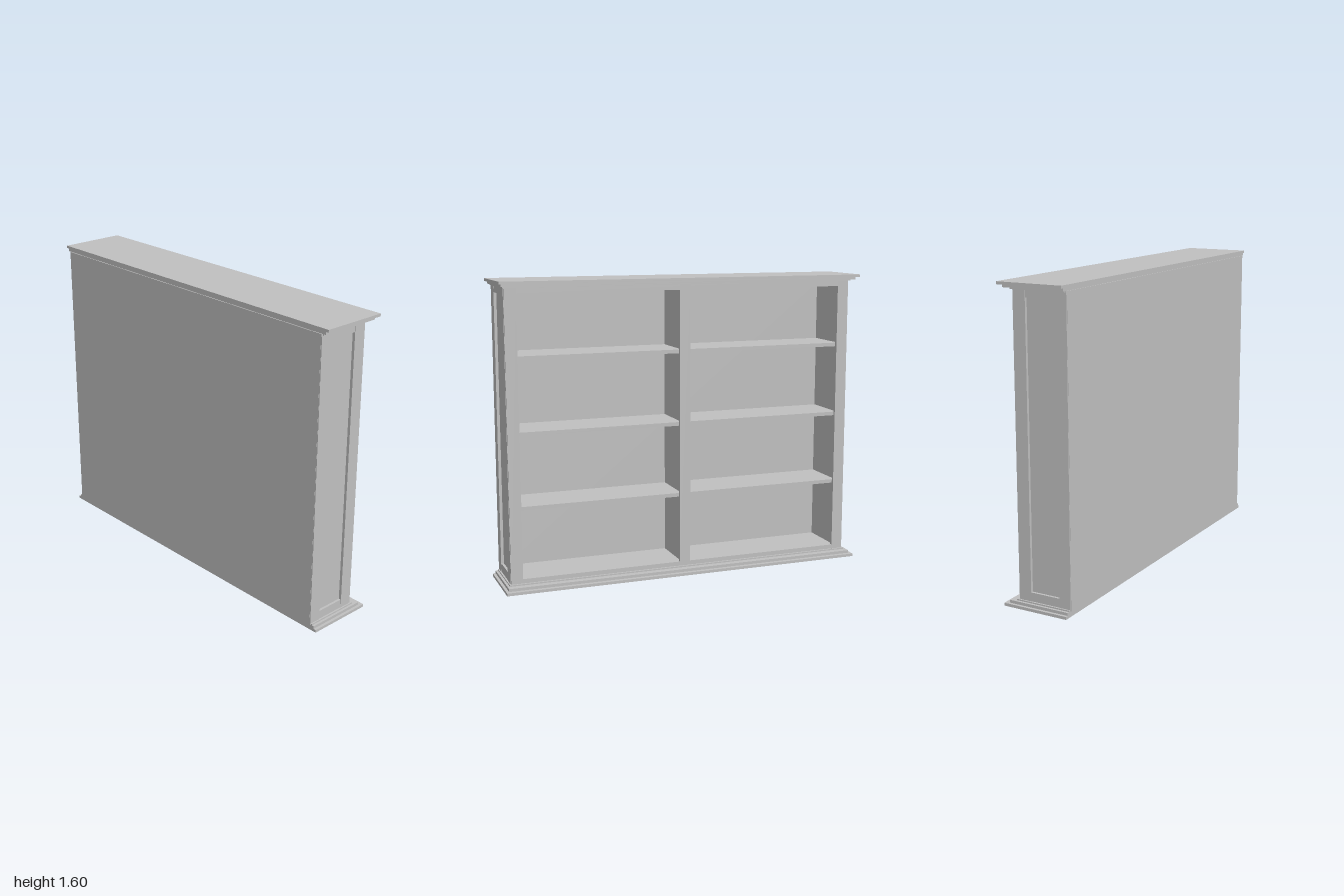
import * as THREE from 'three';

export function createModel() {
  const model = new THREE.Group();
  model.name = 'bookcase';
  const paint = new THREE.MeshStandardMaterial({ color: 0xc0c0c0 });
  paint.name = 'grey paint';

  // Box given by its limits on each axis
  function board(name, x0, x1, y0, y1, z0, z1, parent = model) {
    const mesh = new THREE.Mesh(new THREE.BoxGeometry(x1 - x0, y1 - y0, z1 - z0), paint);
    mesh.position.set((x0 + x1) / 2, (y0 + y1) / 2, (z0 + z1) / 2);
    mesh.name = name;
    parent.add(mesh);
    return mesh;
  }

  // Stepped moulding: [half width, low y, high y, open-side z]
  function moulding(name, steps) {
    const group = new THREE.Group();
    group.name = name;
    steps.forEach(([w, y0, y1, z]) => board(name + 'Step', -w, w, y0, y1, z, 0.178, group));
    model.add(group);
  }
  moulding('base', [[1, 0, 0.015, -0.183], [0.985, 0.015, 0.03, -0.16], [0.972, 0.03, 0.037, -0.125]]);
  moulding('cornice', [[0.972, 1.565, 1.572, -0.125], [0.985, 1.572, 1.586, -0.157], [1, 1.586, 1.6, -0.18]]);

  // Carcass
  board('backPanel', -0.96, 0.96, 0.03, 1.572, 0.17, 0.183);
  board('floor', -0.93, 0.93, 0.03, 0.055, -0.105, 0.172);
  board('ceiling', -0.93, 0.93, 1.55, 1.572, -0.105, 0.172);
  board('divider', -0.013, 0.013, 0.05, 1.555, -0.105, 0.172);

  // Framed side walls with a recessed panel
  for (const s of [-1, 1]) {
    const side = new THREE.Group();
    side.name = s > 0 ? 'leftSide' : 'rightSide';
    const part = (name, a, b, ...rest) =>
      board(name, Math.min(s * a, s * b), Math.max(s * a, s * b), ...rest, side);
    part('sidePanel', 0.92, 0.95, 0.03, 1.57, -0.105, 0.175);
    part('sideStile', 0.945, 0.965, 0.03, 1.572, 0.118, 0.182);
    part('sideStile', 0.945, 0.965, 0.03, 1.572, -0.108, -0.045);
    part('sideRail', 0.945, 0.963, 0.03, 0.083, -0.05, 0.12);
    part('sideRail', 0.945, 0.963, 1.53, 1.572, -0.05, 0.12);
    part('faceStile', 0.9, 0.963, 0.03, 1.572, -0.115, -0.1);
    model.add(side);
  }

  // Frame around the open face
  board('centreStile', -0.03, 0.03, 0.03, 1.572, -0.115, -0.1);
  board('topRail', -0.91, 0.91, 1.535, 1.572, -0.114, -0.1);
  board('bottomRail', -0.91, 0.91, 0.03, 0.06, -0.114, -0.1);

  // Three shelves in each bay
  for (const y of [0.43, 0.82, 1.21]) {
    board('shelf', 0.01, 0.925, y - 0.01, y + 0.01, -0.095, 0.172);
    board('shelf', -0.925, -0.01, y - 0.01, y + 0.01, -0.095, 0.172);
  }
  return model;
}
